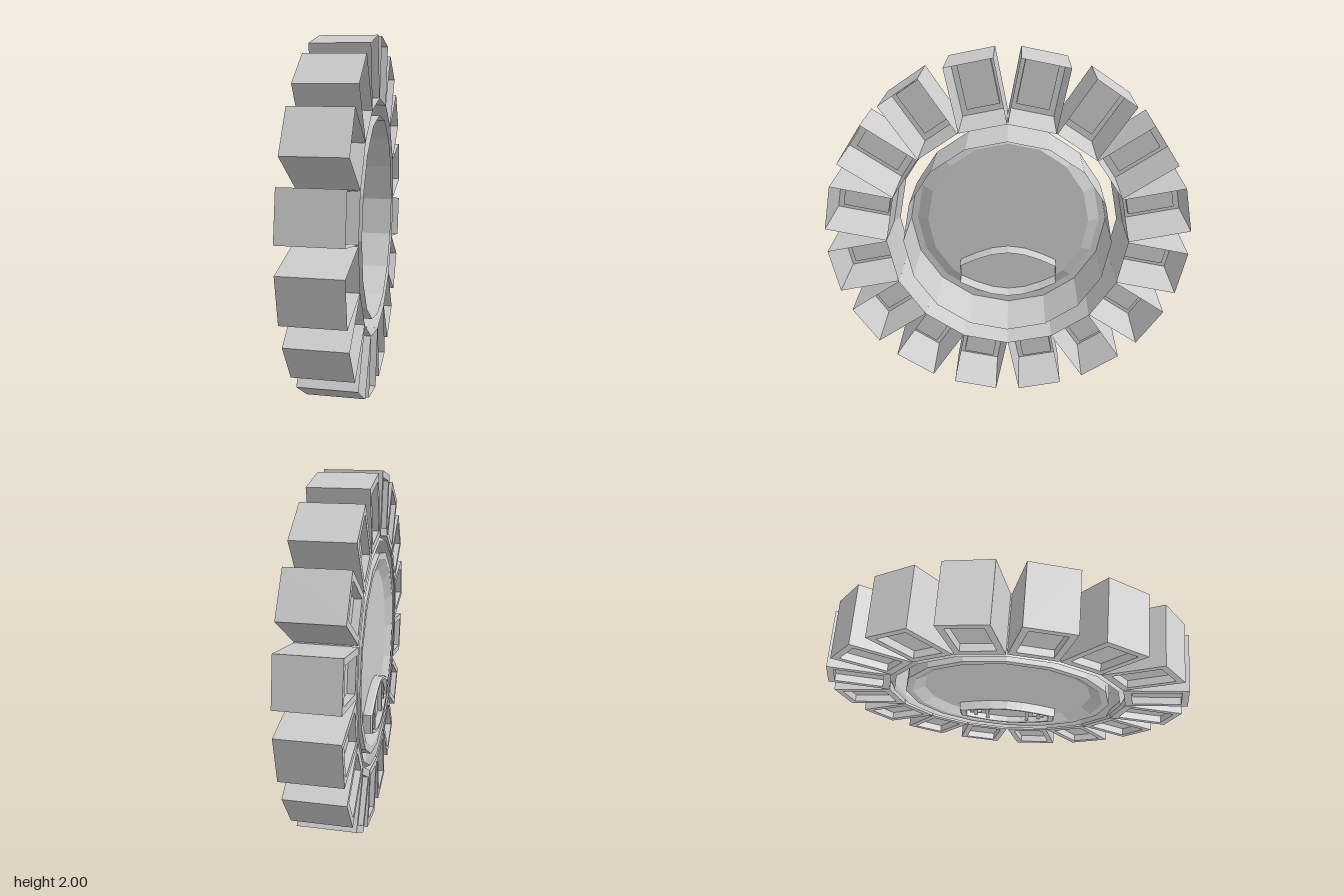
import * as THREE from 'three';

const SIDES = 16;
const FRONT = 0.155, BACK = -0.165; // local z, front later turned to face -x

// Flat-shaded skin through equal-length loops, optionally closed at the last one
function loft(loops, capped) {
  const pos = [];
  const tri = (a, b, c) => pos.push(...a, ...b, ...c);
  const n = loops[0].length;
  for (let k = 0; k < loops.length - 1; k++) {
    for (let i = 0; i < n; i++) {
      const j = (i + 1) % n, a = loops[k], b = loops[k + 1];
      tri(a[i], a[j], b[j]);
      tri(a[i], b[j], b[i]);
    }
  }
  if (capped) {
    const last = loops[loops.length - 1];
    for (let i = 1; i < n - 1; i++) tri(last[0], last[i], last[i + 1]);
  }
  const g = new THREE.BufferGeometry();
  g.setAttribute('position', new THREE.Float32BufferAttribute(pos, 3));
  g.computeVertexNormals();
  return g;
}

// Regular polygon with one corner at the top
function polygon(r, z) {
  return Array.from({ length: SIDES }, (_, i) => {
    const a = Math.PI / 2 + (i / SIDES) * Math.PI * 2;
    return [r * Math.cos(a), r * Math.sin(a), z];
  });
}

function rectangle(halfWidth, y0, y1, z) {
  return [[-halfWidth, y0, z], [halfWidth, y0, z], [halfWidth, y1, z], [-halfWidth, y1, z]];
}

// Lens outline with short upright ends
function lens(scale, z) {
  const w = 0.285, pts = [];
  for (const side of [-1, 1]) {
    for (let i = 0; i <= 6; i++) {
      const x = side * w * (-1 + i / 3);
      const y = side * (0.055 + 0.09 * Math.cos((x / w) * Math.PI / 2));
      pts.push([-side * side * x * -1 * scale, y * scale, z]);
    }
  }
  return pts;
}

export function createModel() {
  const model = new THREE.Group();
  model.name = 'toothedWheel';
  const grey = new THREE.MeshStandardMaterial({ color: 0xcccccc, side: THREE.DoubleSide });
  grey.name = 'lightGrey';

  const wheel = new THREE.Group();
  wheel.name = 'wheel';
  wheel.position.y = 1;
  wheel.rotation.y = -Math.PI / 2;
  model.add(wheel);

  const add = (name, geometry, parent = wheel) => {
    const mesh = new THREE.Mesh(geometry, grey);
    mesh.name = name;
    parent.add(mesh);
    return mesh;
  };

  // Hollow blocks with a recessed panel, open at the back
  const block = loft([
    rectangle(0.127, 0.654, 0.994, BACK),
    rectangle(0.127, 0.654, 0.994, FRONT),
    rectangle(0.092, 0.695, 0.958, FRONT),
    rectangle(0.092, 0.695, 0.958, FRONT - 0.04),
  ], true);
  const blocks = new THREE.Group();
  blocks.name = 'blocks';
  wheel.add(blocks);
  for (let i = 0; i < SIDES; i++) {
    add('block', block, blocks).rotation.z = ((i + 0.5) / SIDES) * Math.PI * 2;
  }

  // Ring carrying the blocks, with a bevelled front lip
  add('ring', loft([polygon(0.667, BACK), polygon(0.667, 0.1), polygon(0.638, FRONT)], false));

  // Central cup with a sunken face
  add('cup', loft([
    polygon(0.573, BACK),
    polygon(0.573, FRONT),
    polygon(0.535, FRONT),
    polygon(0.47, FRONT - 0.035),
  ], true));

  // Lens-shaped hatch passing through the cup face
  const hatch = new THREE.Group();
  hatch.name = 'hatch';
  hatch.position.y = -0.315;
  wheel.add(hatch);
  add('hatchFrame', loft([
    lens(1, 0.03), lens(1, 0.16), lens(0.97, 0.17), lens(0.87, 0.17), lens(0.87, 0.135),
  ], true), hatch);

  // Dividers and small fittings on each side of the hatch
  const bar = (name, w, h, x, y) =>
    add(name, new THREE.BoxGeometry(w, h, 0.025), hatch).position.set(x, y, 0.148);
  for (const s of [-1, 1]) {
    bar('divider', 0.02, 0.2, s * 0.12, 0);
    bar('fittingPost', 0.02, 0.1, s * 0.19, 0);
    bar('fittingArm', 0.07, 0.02, s * 0.19, 0);
  }
  return model;
}
